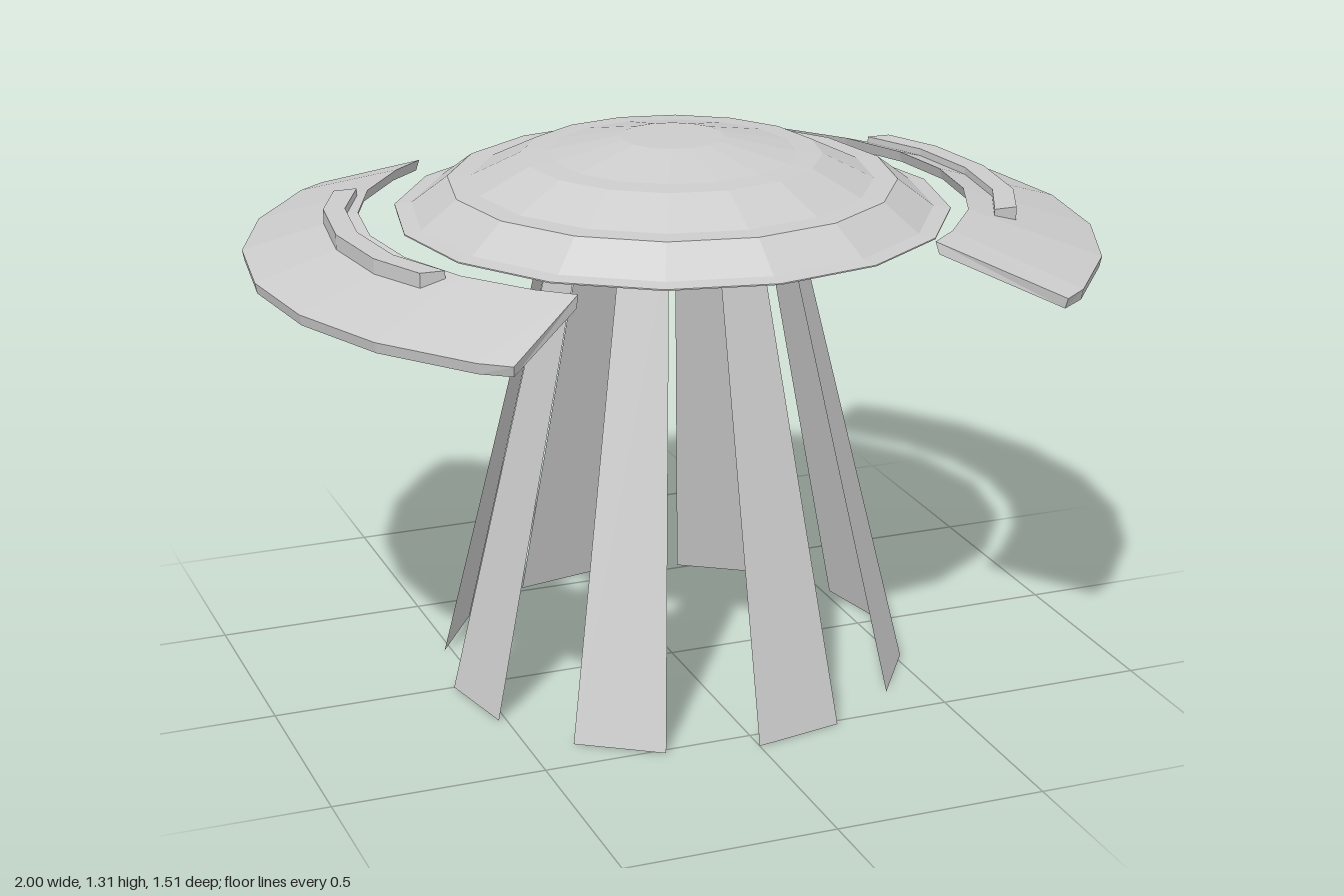
import * as THREE from 'three';

const material = new THREE.MeshStandardMaterial({ color: 0xcccccc, flatShading: true });
const thinMaterial = new THREE.MeshStandardMaterial({
  color: 0xcccccc, flatShading: true, side: THREE.DoubleSide,
});
const rad = THREE.MathUtils.degToRad;

function addMesh(parent, name, geometry, mat = material) {
  const mesh = new THREE.Mesh(geometry, mat);
  mesh.name = name;
  parent.add(mesh);
  return mesh;
}

// Sweeps a four-cornered section around the y axis, centred on +x.
// Corners are [radius, y, radius at the end, end angle], ordered
// outer bottom, outer top, inner top, inner bottom.
function arcSlab(corners, midAngles) {
  const pos = [];
  const index = [];
  const n = corners.length;
  const count = midAngles.length + 2;
  for (let i = 0; i < count; i++) {
    const isEnd = i === 0 || i === count - 1;
    for (const [r, y, endR, endAngle] of corners) {
      const a = rad(isEnd ? (i === 0 ? -endAngle : endAngle) : midAngles[i - 1]);
      const radius = isEnd ? endR : r;
      pos.push(radius * Math.cos(a), y, radius * Math.sin(a));
    }
  }
  for (let i = 0; i < count - 1; i++) {
    for (let j = 0; j < n; j++) {
      const a = i * n + j;
      const b = i * n + ((j + 1) % n);
      index.push(a, b, a + n, b, b + n, a + n);
    }
  }
  const e = (count - 1) * n;
  index.push(0, 2, 1, 0, 3, 2, e, e + 1, e + 2, e, e + 2, e + 3);
  const geometry = new THREE.BufferGeometry();
  geometry.setAttribute('position', new THREE.Float32BufferAttribute(pos, 3));
  geometry.setIndex(index);
  const flat = geometry.toNonIndexed();
  flat.computeVertexNormals();
  return flat;
}

// Curved wing sloping down and outwards, with a raised pad on top.
function makeWing(name, innerR, innerY) {
  const wing = new THREE.Group();
  wing.name = name;
  addMesh(wing, 'wingPlate', arcSlab([
    [0.995, 1.04, 0.985, 49.5],
    [1.0, 1.065, 0.993, 49.7],
    [innerR, innerY, innerR, 53],
    [innerR + 0.01, innerY - 0.028, innerR + 0.01, 53],
  ], [-45, -30, -15, 0, 15, 30, 45]));
  addMesh(wing, 'wingPad', arcSlab([
    [0.81, 1.115, 0.80, 26],
    [0.81, 1.158, 0.80, 26],
    [0.76, 1.158, 0.75, 28],
    [0.76, 1.125, 0.75, 28],
  ], [-15, 0, 15]));
  return wing;
}

export function createModel() {
  const model = new THREE.Group();
  model.name = 'saucer';

  // Stepped dome with a flat underside
  const profile = [
    [0, 1.138], [0.65, 1.138], [0.65, 1.141], [0.61, 1.146], [0.525, 1.21],
    [0.47, 1.212], [0.35, 1.27], [0.29, 1.274], [0.12, 1.31], [0, 1.31],
  ].map(([r, y]) => new THREE.Vector2(r, y));
  addMesh(model, 'hull', new THREE.LatheGeometry(profile, 16));

  // Wings on both sides
  model.add(makeWing('leftWing', 0.69, 1.163));
  const rightWing = makeWing('rightWing', 0.73, 1.147);
  rightWing.rotation.y = Math.PI;
  model.add(rightWing);

  // Eight flat light beams spreading to the ground
  const beams = new THREE.Group();
  beams.name = 'beams';
  for (let i = 0; i < 8; i++) {
    const beam = addMesh(beams, 'beam', new THREE.CylinderGeometry(
      0.285, 0.56, 1.138, 1, 1, true, rad(45 * i), rad(22.5)), thinMaterial);
    beam.position.y = 0.569;
  }
  model.add(beams);

  return model;
}
